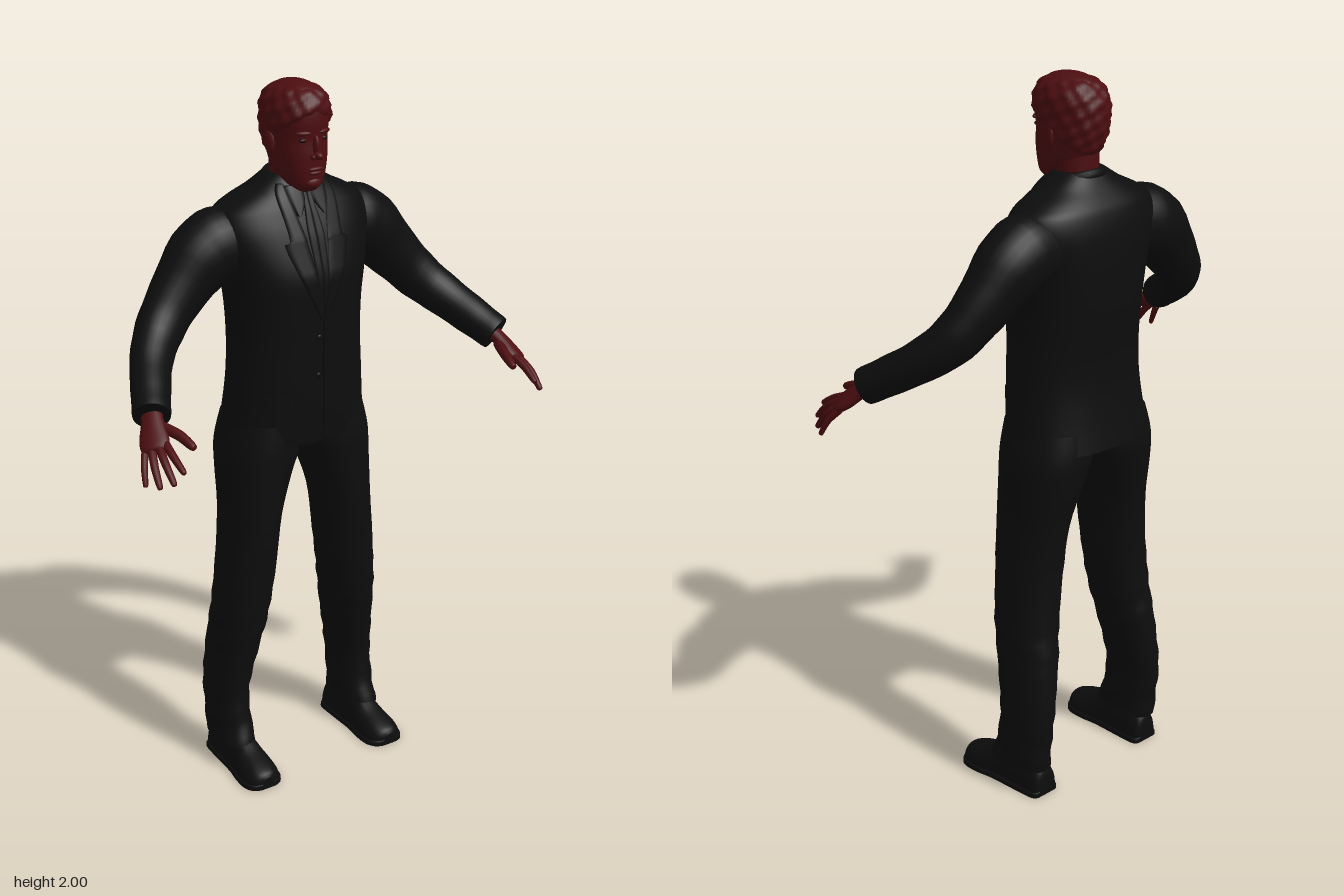
import * as THREE from 'three';

const skin = new THREE.MeshStandardMaterial({ color: 0x4d0e11 });
skin.name = 'dark red skin';
const suit = new THREE.MeshStandardMaterial({ color: 0x0d0d0d });
suit.name = 'black suit';
const dark = new THREE.MeshStandardMaterial({ color: 0x1e0708 });
dark.name = 'dark eyes';

// Catmull-Rom subdivision of table rows
function smooth(rows, k = 4) {
  const out = [], n = rows.length;
  for (let i = 0; i < n - 1; i++) {
    const [a, b, c, d] = [rows[Math.max(i - 1, 0)], rows[i], rows[i + 1], rows[Math.min(i + 2, n - 1)]];
    for (let j = 0; j < k; j++) {
      const t = j / k;
      out.push(b.map((_, q) => b[q] + 0.5 * t * (c[q] - a[q] + t * (2 * a[q] - 5 * b[q] + 4 * c[q] - d[q] + t * (3 * (b[q] - c[q]) + d[q] - a[q])))));
    }
  }
  out.push(rows[n - 1]);
  return out;
}

// Closed skin over rings of points, with flat end caps
function loft(rings) {
  const n = rings[0].length, pos = rings.flat(2), idx = [];
  for (let i = 0; i < rings.length - 1; i++)
    for (let j = 0; j < n; j++) {
      const a = i * n + j, b = i * n + (j + 1) % n;
      idx.push(a, b, b + n, a, b + n, a + n);
    }
  [rings[0], rings[rings.length - 1]].forEach((ring, end) => {
    const base = pos.length / 3;
    pos.push(...ring.flat(), ...[0, 1, 2].map(q => ring.reduce((s, p) => s + p[q], 0) / n));
    for (let j = 0; j < n; j++) {
      const k = (j + 1) % n;
      idx.push(base + n, base + (end ? j : k), base + (end ? k : j));
    }
  });
  const g = new THREE.BufferGeometry();
  g.setAttribute('position', new THREE.Float32BufferAttribute(pos, 3));
  g.setIndex(idx);
  g.computeVertexNormals();
  return g;
}

const spow = (v, p) => Math.sign(v) * Math.abs(v) ** (2 / p);
const angles = n => Array.from({ length: n }, (_, j) => j / n * Math.PI * 2);

// Upright body: rows are [y, centre x, half width, front z, back z]
function upright(rows, { p = 2, n = 40, offset = () => 0 } = {}) {
  return loft(smooth(rows).map(([y, cx, rx, zf, zb]) => angles(n).map(t => {
    const o = offset(t, y), rz = (zf - zb) / 2;
    return [cx + (rx + o) * spow(Math.sin(t), p), y, (zf + zb) / 2 + (rz + o) * spow(Math.cos(t), p)];
  })));
}

// Limb: rows are [x, y, z, radius along ref, radius across]
function limb(rows, s, ref = [0, 0, 1], n = 20, folds = 0) {
  const pts = smooth(rows.map(([x, ...r]) => [x * s, ...r]));
  const V = p => new THREE.Vector3(p[0], p[1], p[2]);
  return loft(pts.map((p, i) => {
    const T = V(pts[Math.min(i + 1, pts.length - 1)]).sub(V(pts[Math.max(i - 1, 0)])).normalize();
    const u = new THREE.Vector3(ref[0] * s, ref[1], ref[2]);
    u.addScaledVector(T, -u.dot(T)).normalize();
    const v = T.clone().cross(u), f = 1 + folds * Math.sin(i * 1.7);
    return angles(n).map(t => V(p).addScaledVector(u, f * p[3] * Math.cos(t)).addScaledVector(v, f * p[4] * Math.sin(t)).toArray());
  }));
}

const TORSO = [
  [1.02, 0, 0.217, 0.025, -0.268], [1.1, 0, 0.206, 0.032, -0.255], [1.2, 0, 0.196, 0.038, -0.245],
  [1.3, 0, 0.19, 0.042, -0.25], [1.4, 0, 0.192, 0.046, -0.26], [1.5, 0, 0.207, 0.044, -0.264],
  [1.6, 0, 0.232, 0.012, -0.26], [1.66, 0, 0.222, -0.015, -0.247], [1.69, 0, 0.185, -0.03, -0.23],
  [1.72, 0, 0.125, -0.045, -0.205], [1.745, 0, 0.085, -0.058, -0.188], [1.755, 0, 0.07, -0.065, -0.18]];
const HEAD = [
  [1.718, 0, 0.026, -0.012, -0.07], [1.735, 0, 0.047, 0.003, -0.11], [1.76, 0, 0.061, 0.007, -0.15],
  [1.79, 0, 0.069, 0.009, -0.168], [1.82, 0, 0.073, 0.01, -0.18], [1.86, 0, 0.076, 0.007, -0.193],
  [1.9, 0, 0.079, 0.012, -0.197], [1.94, 0, 0.077, 0.008, -0.193], [1.97, 0, 0.063, -0.008, -0.174],
  [1.985, 0, 0.045, -0.03, -0.15], [1.993, 0, 0.016, -0.07, -0.11]];
const LEG = [
  [0.08, 0.215, 0.056, -0.02, -0.22], [0.15, 0.215, 0.054, -0.045, -0.225], [0.25, 0.213, 0.055, -0.055, -0.235],
  [0.4, 0.195, 0.066, -0.03, -0.225], [0.5, 0.182, 0.073, -0.012, -0.21], [0.65, 0.165, 0.077, 0, -0.205],
  [0.8, 0.15, 0.077, 0.01, -0.218], [0.92, 0.13, 0.097, 0.012, -0.24], [1, 0.113, 0.112, 0.015, -0.25],
  [1.08, 0.105, 0.1, 0.01, -0.24]];

// Front surface of the jacket at (x, y)
function chestZ(x, y) {
  let i = 0;
  while (i < TORSO.length - 2 && TORSO[i + 1][0] < y) i++;
  const [a, b] = [TORSO[i], TORSO[i + 1]], t = (y - a[0]) / (b[0] - a[0]);
  const [, , rx, zf, zb] = a.map((v, q) => v + (b[q] - v) * t);
  return (zf + zb) / 2 + (zf - zb) / 2 * Math.max(0, 1 - Math.abs(x / rx) ** 2.3) ** (1 / 2.3);
}

// Thin panel lying on the chest; rows are [y, inner x, outer x]
function panel(rows, s, lift) {
  return loft(smooth(rows, 6).map(([y, x0, x1]) => {
    const row = [];
    for (const [from, to, h] of [[x0, x1, lift], [x1, x0, lift - 0.008]])
      for (let j = 0; j <= 4; j++) {
        const x = s * (from + (to - from) * j / 4);
        row.push([x, y, chestZ(x, y) + h]);
      }
    return s > 0 ? row : row.reverse();
  }));
}

export function createModel() {
  const model = new THREE.Group();
  const add = (name, geo, mat) => {
    const m = new THREE.Mesh(geo, mat);
    m.name = name;
    model.add(m);
    return m;
  };
  const blob = (name, mat, at, size) => {
    const m = add(name, new THREE.SphereGeometry(1, 18, 12), mat);
    m.position.set(...at);
    m.scale.set(...size);
    return m;
  };

  // Jacket, shirt and tie
  add('jacket', upright(TORSO, { p: 2.3, n: 56 }), suit);
  add('seat', upright([[0.985, 0, 0.06, -0.03, -0.2], [1.0, 0, 0.16, 0, -0.24], [1.06, 0, 0.19, 0.01, -0.24]]), suit);
  add('tie', panel([[1.42, 0, 0.012], [1.6, 0, 0.024], [1.68, 0, 0.016], [1.71, 0, 0.02]], 1, 0.004), suit);
  add('tie', panel([[1.42, 0, 0.012], [1.6, 0, 0.024], [1.68, 0, 0.016], [1.71, 0, 0.02]], -1, 0.004), suit);
  add('frontEdge', panel([[1.025, 0.012, 0.02], [1.2, 0.004, 0.012], [1.38, 0, 0.01]], 1, 0.004), suit);
  for (const y of [1.22, 1.33]) blob('button', suit, [-0.012, y, chestZ(0, y) + 0.002], [0.008, 0.008, 0.004]);
  const collar = add('collar', new THREE.TorusGeometry(0.066, 0.013, 10, 36), suit);
  collar.rotation.x = Math.PI / 2 + 0.28;
  collar.position.set(0, 1.732, -0.117);

  // Neck and head
  add('neck', upright([[1.66, 0, 0.064, -0.055, -0.18], [1.72, 0, 0.058, -0.055, -0.172], [1.8, 0, 0.06, -0.05, -0.172]]), skin);
  add('head', upright(HEAD, { p: 2.15 }), skin);
  // Hair rises from the head above a hairline that drops towards the nape
  add('hair', upright(HEAD.slice(2), {
    p: 2.15, n: 72, offset: (t, y) => {
      const line = 1.925 - 0.13 * (0.5 - 0.5 * Math.cos(t)) ** 0.8;
      const mask = THREE.MathUtils.smoothstep(y, line - 0.01, line + 0.015);
      return -0.006 + mask * (0.012 + 0.0025 * Math.sin(t * 13 + y * 90) + 0.002 * Math.sin(t * 7 - y * 170));
    }
  }), skin);
  blob('hairCrown', skin, [0, 1.972, -0.09], [0.052, 0.028, 0.078]);
  blob('noseBridge', skin, [0, 1.842, 0.008], [0.009, 0.03, 0.014]);
  blob('noseTip', skin, [0, 1.819, 0.02], [0.012, 0.011, 0.016]);
  blob('upperLip', skin, [0, 1.782, 0.009], [0.024, 0.006, 0.008]);
  blob('lowerLip', skin, [0, 1.771, 0.007], [0.02, 0.006, 0.008]);
  blob('chin', skin, [0, 1.743, -0.004], [0.025, 0.017, 0.014]);

  for (const s of [1, -1]) {
    // Face details
    blob('nostril', skin, [s * 0.011, 1.815, 0.013], [0.008, 0.008, 0.01]);
    blob('eye', dark, [s * 0.031, 1.858, -0.003], [0.013, 0.006, 0.006]);
    blob('brow', skin, [s * 0.032, 1.877, -0.001], [0.022, 0.007, 0.009]).rotation.y = s * 0.35;
    const ear = blob('ear', skin, [s * 0.079, 1.845, -0.092], [0.009, 0.031, 0.019]);
    ear.rotation.set(-0.15, s * -0.3, 0);

    // Lapels, collar points and pocket flaps
    add('lapel', panel([[1.38, 0, 0.008], [1.5, 0.018, 0.066], [1.585, 0.032, 0.096], [1.6, 0.034, 0.08], [1.7, 0.055, 0.088], [1.735, 0.06, 0.075]], s, 0.007), suit);
    add('collarPoint', panel([[1.655, 0.036, 0.042], [1.69, 0.014, 0.055], [1.73, 0.012, 0.062]], s, 0.009), suit);
    add('pocketFlap', panel([[1.13, 0.085, 0.16], [1.165, 0.085, 0.16]], s, 0.004), suit);

    // Sleeve and cuff
    add('sleeve', limb([
      [0.15, 1.575, -0.14, 0.085, 0.09], [0.21, 1.575, -0.14, 0.092, 0.104], [0.27, 1.545, -0.14, 0.088, 0.097],
      [0.355, 1.457, -0.127, 0.068, 0.077], [0.42, 1.385, -0.1, 0.06, 0.068], [0.475, 1.33, -0.045, 0.053, 0.06],
      [0.525, 1.275, 0.04, 0.05, 0.054], [0.553, 1.243, 0.093, 0.049, 0.05]], s, [0, 0, 1], 28, 0.012), suit);

    // Hand: palm across the knuckle line, then fingers and thumb
    add('palm', limb([[0.545, 1.25, 0.075, 0.029, 0.022], [0.558, 1.23, 0.105, 0.03, 0.02],
      [0.574, 1.2, 0.14, 0.039, 0.019], [0.583, 1.184, 0.163, 0.036, 0.015], [0.586, 1.179, 0.17, 0.024, 0.008]],
    s, [0.043, -0.015, -0.03]), skin);
    const fingers = [
      [[0.558, 1.197, 0.165], [0.562, 1.178, 0.215], [0.56, 1.152, 0.262]],
      [[0.574, 1.19, 0.163], [0.584, 1.162, 0.215], [0.585, 1.125, 0.257]],
      [[0.589, 1.182, 0.155], [0.604, 1.15, 0.195], [0.609, 1.11, 0.228]],
      [[0.602, 1.176, 0.143], [0.62, 1.144, 0.17], [0.629, 1.106, 0.19]],
      [[0.545, 1.222, 0.118], [0.522, 1.212, 0.175], [0.511, 1.195, 0.226]]];
    fingers.forEach(([a, b, c], i) => {
      const r = i === 4 ? 0.014 : i === 3 ? 0.009 : 0.0105;
      const tip = c.map((v, q) => v + (c[q] - b[q]) * 0.12);
      add(i === 4 ? 'thumb' : 'finger', limb([[...a, r * 1.1, r * 1.1], [...b, r, r], [...c, r * 0.75, r * 0.75], [...tip, r * 0.25, r * 0.25]], s, [1, 0, 0], 10), skin);
    });

    // Trouser leg with soft folds
    add('trouserLeg', upright(LEG.map(([y, cx, ...r]) => [y, s * cx, ...r]), {
      p: 2.2, offset: (t, y) => y < 0.7 ? 0.002 * Math.sin(y * 75 + s * t * 2) : 0
    }), suit);

    // Shoe and sole: rows are [z, half width, height]
    const shoe = [[-0.215, 0.026, 0.06], [-0.2, 0.042, 0.09], [-0.12, 0.046, 0.11], [-0.05, 0.048, 0.1],
      [0, 0.055, 0.077], [0.05, 0.055, 0.06], [0.078, 0.04, 0.048], [0.088, 0.018, 0.035]];
    const last = (grow, cap, p) => loft(smooth(shoe).map(([z, w, h]) => angles(28).map(t => [
      s * (0.21 + 0.03 * (z + 0.06)) + (w + grow) * spow(Math.cos(t), p), Math.min(h, cap) * Math.max(0, spow(Math.sin(t), p)), z])));
    add('shoe', last(0, 1, 2.4), suit);
    add('sole', last(0.005, 0.018, 5), suit);
  }
  return model;
}
